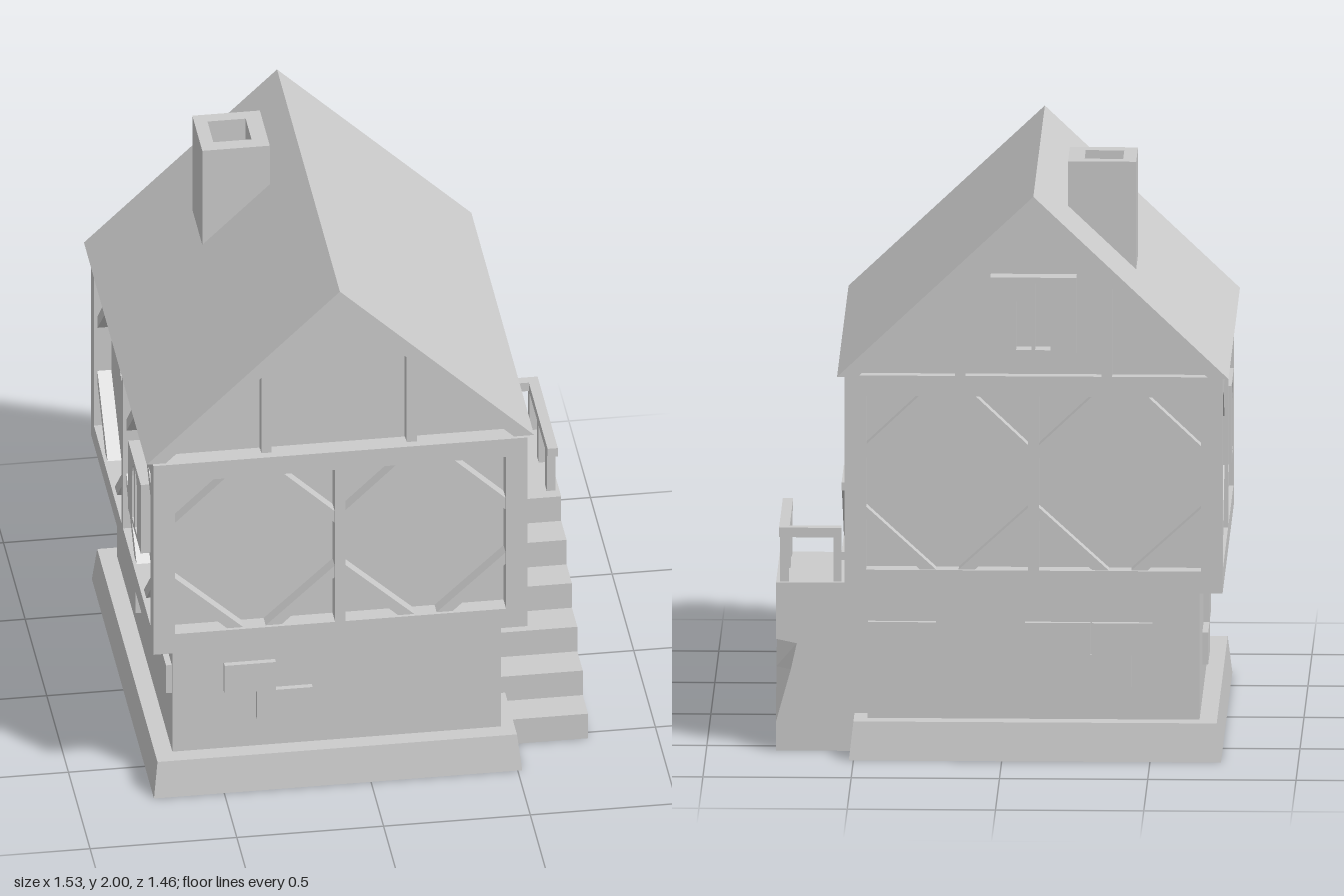
import * as THREE from 'three';

const mat = new THREE.MeshStandardMaterial({ color: 0xcccccc, flatShading: true, side: THREE.DoubleSide });
const CX = -0.107, WALL = 0.06; // house axis, depth of the timber frame

function add(parent, name, geo) {
  const m = new THREE.Mesh(geo, mat);
  m.name = name;
  parent.add(m);
  return m;
}

// Box given by its minimum and maximum corners
function box(parent, name, x0, x1, y0, y1, z0, z1) {
  const m = add(parent, name, new THREE.BoxGeometry(x1 - x0, y1 - y0, z1 - z0));
  m.position.set((x0 + x1) / 2, (y0 + y1) / 2, (z0 + z1) / 2);
  return m;
}

const poly = (pts) => new THREE.Shape(pts.map(([x, y]) => new THREE.Vector2(x, y)));
const rect = (x0, x1, y0, y1) => poly([[x0, y0], [x1, y0], [x1, y1], [x0, y1]]);

// Flat outline extruded along z from z0 to z1
function slab(parent, name, shape, z0, z1) {
  const g = new THREE.ExtrudeGeometry(shape, { depth: z1 - z0, bevelEnabled: false, curveSegments: 6 });
  return add(parent, name, g.translate(0, 0, z0));
}

// Group whose local +z points out of one wall of the house
function side(parent, name, angle, cz) {
  const g = new THREE.Group();
  g.name = name;
  g.position.set(CX, 0, cz);
  g.rotation.y = angle;
  parent.add(g);
  return g;
}

// Timber frame of one upper wall: border, middle post and corner braces
function timberFrame(g, half, margin, out, trim) {
  const y0 = 0.655, y1 = 1.255, inner = half - margin, post = 0.018;
  const frame = rect(-half + trim, half - trim, 0.58, 1.325);
  frame.holes.push(rect(-inner, -post, y0, y1), rect(post, inner, y0, y1));
  slab(g, 'timberFrame', frame, out - WALL, out);
  for (const s of [-1, 1])
    for (const [edge, d] of [[inner, -1], [post, 1]])
      for (const [y, e] of [[y0, 1], [y1, -1]]) {
        const a = 0.17, b = 0.215, p = 0.18, q = 0.235;
        slab(g, 'brace', poly([
          [s * edge, y + e * a], [s * (edge + d * p), y],
          [s * (edge + d * q), y], [s * edge, y + e * b],
        ]), out - WALL, out - 0.012);
      }
}

// Thick window panel with two half-arch openings
function windowPanel(g, u, y, wall) {
  const panel = rect(-0.145, 0.145, 0, 0.27);
  for (const s of [-1, 1]) {
    const pane = [[s * 0.006, 0.02], [s * 0.058, 0.02]];
    for (let i = 0; i <= 5; i++) {
      const a = (i / 5) * Math.PI / 2;
      pane.push([s * (0.006 + 0.052 * Math.cos(a)), 0.185 + 0.065 * Math.sin(a)]);
    }
    panel.holes.push(poly(pane));
  }
  slab(g, 'window', panel, wall, wall + 0.066).position.set(u, y, 0);
}

// Plank door with a Z of battens
function door(g, u, wall) {
  const d = new THREE.Group();
  d.name = 'door';
  d.position.set(u, 0, wall);
  g.add(d);
  for (const s of [-1, 1]) {
    const inner = [[0.006, 0.58], [0.078, 0.58], [0.078, 0.987], [0.006, 1.01]];
    const outer = [[0.09, 0.58], [0.162, 0.58], [0.156, 0.83], [0.14, 0.91], [0.09, 0.98]];
    for (const pts of [inner, outer])
      slab(d, 'doorPlank', poly(pts.map(([x, y]) => [s * x, y])), 0, 0.066);
  }
  box(d, 'doorBatten', -0.14, 0.14, 0.875, 0.903, 0.06, 0.076);
  box(d, 'doorBatten', -0.15, 0.15, 0.638, 0.666, 0.06, 0.076);
  slab(d, 'doorBatten', poly([[-0.15, 0.666], [-0.11, 0.666], [0.14, 0.875], [0.1, 0.875]]), 0.06, 0.075);
}

// Landing block with a chipped outer back corner, lofted from sections
function landingGeometry() {
  const x0 = 0.4, x1 = 0.765, z0 = -0.572, z1 = -0.083;
  const rows = [[0, 0, 0], [0.1, 0, 0], [0.28, 0.05, 0.05], [0.37, 0.07, 0.12], [0.385, 0, 0], [0.58, 0, 0]];
  const pos = [], idx = [], n = 5;
  for (const [y, dx, dz] of rows)
    pos.push(x0, y, z1, x1, y, z1, x1, y, z0 + dz, x1 - dx, y, z0, x0, y, z0);
  for (let r = 0; r < rows.length - 1; r++)
    for (let i = 0; i < n; i++) {
      const a = r * n + i, b = r * n + (i + 1) % n;
      idx.push(a, b, b + n, a, b + n, a + n);
    }
  const t = (rows.length - 1) * n;
  for (let i = 1; i < n - 1; i++) idx.push(0, i + 1, i, t, t + i, t + i + 1);
  const g = new THREE.BufferGeometry();
  g.setAttribute('position', new THREE.Float32BufferAttribute(pos, 3));
  g.setIndex(idx);
  const flat = g.toNonIndexed();
  flat.computeVertexNormals();
  return flat;
}

export function createModel() {
  const house = new THREE.Group();
  house.name = 'house';

  // Sloped plinth: a box whose top is drawn in
  const plinth = new THREE.BoxGeometry(1.255, 0.13, 1.435);
  const p = plinth.attributes.position;
  for (let i = 0; i < p.count; i++)
    if (p.getY(i) > 0) p.setXYZ(i, p.getX(i) * 0.976, p.getY(i), p.getZ(i) * 0.97);
  plinth.computeVertexNormals();
  add(house, 'plinth', plinth).position.set(-0.112, 0.065, -0.007);

  // Stone ground floor and plastered upper floor
  box(house, 'groundFloor', -0.665, 0.455, 0, 0.6, -0.645, 0.63);
  box(house, 'upperFloor', -0.745 + WALL, 0.53 - WALL, 0.58, 1.32, -0.71 + WALL, 0.73 - WALL);

  // Protruding stones, listed per wall as [u0, u1, upper row?]
  const stones = [
    [0, 0.6375, [[-0.383, -0.208, 1], [-0.273, -0.083, 0]]],
    [Math.PI / 2, 0.562, [[-0.335, -0.05, 1], [-0.17, 0.04, 0]]],
    [Math.PI, 0.6375, [[-0.56, -0.33, 1], [-0.56, -0.43, 0], [-0.03, 0.19, 1], [0.195, 0.4, 1], [0.08, 0.33, 0]]],
    [-Math.PI / 2, 0.558, [[-0.29, -0.08, 0], [-0.12, 0.09, 1], [0.41, 0.625, 1]]],
  ];
  for (const [angle, out, list] of stones) {
    const g = side(house, 'stones', angle, -0.0075);
    for (const [u0, u1, up] of list)
      box(g, 'stone', u0, u1, up ? 0.355 : 0.245, up ? 0.465 : 0.355, out - 0.01, out + 0.02);
  }

  // Timber framed walls with windows and door
  const front = side(house, 'frontWall', 0, 0.01);
  const back = side(house, 'backWall', Math.PI, 0.01);
  const left = side(house, 'leftWall', Math.PI / 2, 0.01);
  const right = side(house, 'rightWall', -Math.PI / 2, 0.01);
  for (const g of [front, back]) timberFrame(g, 0.6375, 0.073, 0.72, 0);
  for (const g of [left, right]) timberFrame(g, 0.72, 0.066, 0.6375, WALL);
  const wall = 0.6375 - WALL;
  windowPanel(left, -0.325, 0.83, wall);
  windowPanel(right, 0.325, 0.83, wall);
  door(left, 0.338, wall);

  // Roof, gable walls and gable posts
  const roof = poly([[-0.765, 1.325], [-0.7, 1.325], [CX, 1.885], [0.486, 1.325], [0.555, 1.325], [CX, 1.95]]);
  slab(house, 'roof', roof, -0.735, 0.717);
  slab(house, 'gable', poly([[-0.71, 1.315], [0.496, 1.315], [CX, 1.89]]), -0.67, 0.655);
  for (const g of [front, back]) {
    const out = g === front ? 0.645 : 0.68;
    for (const s of [-1, 1])
      slab(g, 'gablePost', poly([
        [s * 0.23, 1.32], [s * 0.265, 1.32], [s * 0.265, 1.64], [s * 0.23, 1.675],
      ]), out - 0.01, out + 0.045);
  }
  windowPanel(back, 0, 1.4, 0.675);

  // Hollow chimney rising through the roof
  const flue = rect(-0.445, -0.215, 0.17, 0.4);
  flue.holes.push(rect(-0.4, -0.27, 0.22, 0.355));
  slab(house, 'chimney', flue, 1.5, 2).rotation.x = -Math.PI / 2;

  // Stairs and landing
  const zs = [0.538, 0.416, 0.29, 0.165, 0.042, -0.083];
  for (let i = 0; i < 5; i++)
    box(house, 'step', 0.4, 0.765, 0, 0.0967 * (i + 1), zs[i + 1], zs[i]);
  add(house, 'landing', landingGeometry());

  // Railing around the landing
  box(house, 'handrail', 0.72, 0.755, 0.733, 0.766, -0.56, -0.092);
  box(house, 'handrail', 0.545, 0.72, 0.733, 0.766, -0.56, -0.525);
  for (const z of [-0.142, -0.328, -0.54])
    box(house, 'railPost', 0.722, 0.752, 0.575, 0.735, z - 0.018, z + 0.018);
  box(house, 'railPost', 0.545, 0.572, 0.575, 0.735, -0.558, -0.527);
  return house;
}
